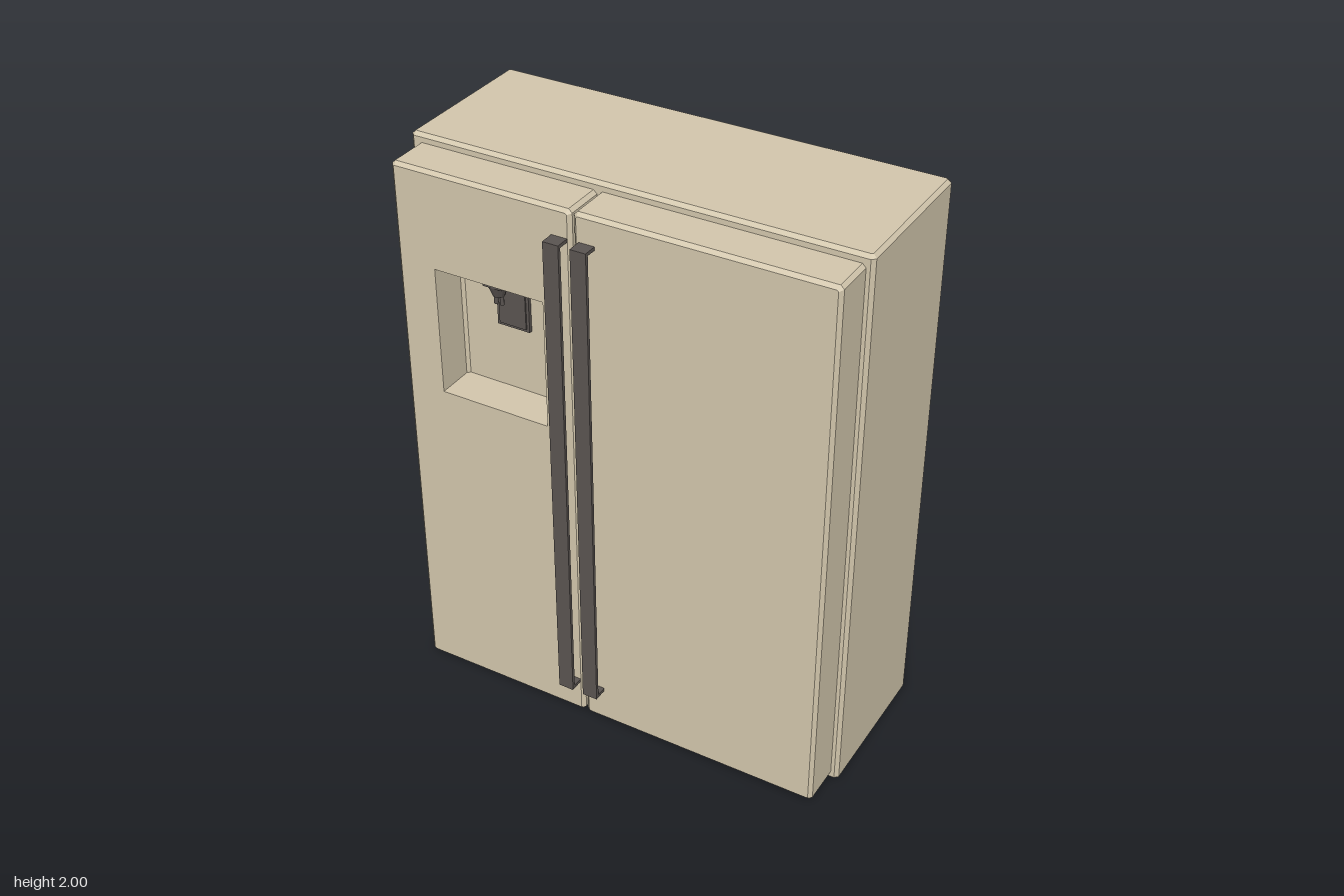
import * as THREE from 'three';

const BEVEL = 0.012;
const beige = new THREE.MeshStandardMaterial({ color: 0xd2c6ac });
const dark = new THREE.MeshStandardMaterial({ color: 0x5a5451 });

function addMesh(parent, name, geometry, material, x = 0, y = 0, z = 0) {
  const mesh = new THREE.Mesh(geometry, material);
  mesh.name = name;
  mesh.position.set(x, y, z);
  parent.add(mesh);
  return mesh;
}

function addBox(parent, name, material, x0, x1, y0, y1, z0, z1) {
  return addMesh(parent, name, new THREE.BoxGeometry(x1 - x0, y1 - y0, z1 - z0), material,
    (x0 + x1) / 2, (y0 + y1) / 2, (z0 + z1) / 2);
}

// Rectangle with cut corners
function cutRect(x0, x1, y0, y1, c = BEVEL) {
  return new THREE.Shape([
    [x0 + c, y0], [x1 - c, y0], [x1, y0 + c], [x1, y1 - c],
    [x1 - c, y1], [x0 + c, y1], [x0, y1 - c], [x0, y0 + c],
  ].map(([x, y]) => new THREE.Vector2(x, y)));
}

// Bevelled slab from z = 0 to z = depth
function slab(shape, depth) {
  const geometry = new THREE.ExtrudeGeometry(shape, {
    depth: depth - 2 * BEVEL, bevelEnabled: true, bevelThickness: BEVEL,
    bevelSize: BEVEL, bevelOffset: -BEVEL, bevelSegments: 1,
  });
  return geometry.translate(0, 0, BEVEL);
}

// Cabinet: bevelled at the top and upright edges, flat at the bottom
function cabinetGeometry() {
  const geometry = slab(cutRect(-0.79, 0.79, -0.175, 0.375), 2);
  geometry.rotateX(-Math.PI / 2);
  const p = geometry.attributes.position;
  for (let i = 0; i < p.count; i++) if (p.getY(i) < 0.1) p.setY(i, 0);
  geometry.computeVertexNormals();
  return geometry;
}

// Door slab with an optional square-edged opening
function doorGeometry(x0, x1, hole) {
  const shape = cutRect(x0, x1, 0.01, 1.97);
  if (hole) {
    shape.holes.push(new THREE.Path([
      [hole.x0, hole.y0], [hole.x0, hole.y1], [hole.x1, hole.y1], [hole.x1, hole.y0],
    ].map(([x, y]) => new THREE.Vector2(x, y))));
  }
  const geometry = slab(shape, 0.175);
  if (hole) {
    // Straighten the bevel around the opening
    const p = geometry.attributes.position;
    const m = 0.04;
    for (let i = 0; i < p.count; i++) {
      const x = p.getX(i), y = p.getY(i);
      if (x < hole.x0 - m || x > hole.x1 + m || y < hole.y0 - m || y > hole.y1 + m) continue;
      p.setX(i, x < (hole.x0 + hole.x1) / 2 ? hole.x0 : hole.x1);
      p.setY(i, y < (hole.y0 + hole.y1) / 2 ? hole.y0 : hole.y1);
    }
    geometry.computeVertexNormals();
  }
  return geometry.translate(0, 0, 0.15);
}

// Back of the recess, with slanted strips in its upright corners
function recessBackGeometry(hole) {
  const c = 0.01, z = -0.185;
  const section = new THREE.Shape([
    [hole.x0, z + 0.02], [hole.x1, z + 0.02], [hole.x1, z - c],
    [hole.x1 - c, z], [hole.x0 + c, z], [hole.x0, z - c],
  ].map(([x, y]) => new THREE.Vector2(x, y)));
  const geometry = new THREE.ExtrudeGeometry(section, { depth: hole.y1 - hole.y0, bevelEnabled: false });
  return geometry.rotateX(-Math.PI / 2).translate(0, hole.y0, 0);
}

// Thin strap handle bent back to the door at both ends
function makeHandle(name, x0, x1) {
  const handle = new THREE.Group();
  handle.name = name;
  const t = 0.012, y0 = 0.14, y1 = 1.875, front = 0.375, back = 0.32;
  const strap = new THREE.Shape([
    [-front, y0], [-back, y0], [-back, y0 + t], [-front + t, y0 + t],
    [-front + t, y1 - t], [-back, y1 - t], [-back, y1], [-front, y1],
  ].map(([x, y]) => new THREE.Vector2(x, y)));
  const geometry = new THREE.ExtrudeGeometry(strap, { depth: x1 - x0, bevelEnabled: false });
  geometry.rotateY(Math.PI / 2);
  addMesh(handle, 'strap', geometry, dark, x0);
  return handle;
}

// Paddle plate and tapered spout with two outlets
function makeDispenser() {
  const group = new THREE.Group();
  group.name = 'dispenser';
  const x = -0.42;
  addBox(group, 'paddle', dark, x - 0.06, x + 0.06, 1.41, 1.61, 0.18, 0.198);
  addBox(group, 'paddlePad', dark, x - 0.05, x + 0.05, 1.42, 1.6, 0.19, 0.203);
  addBox(group, 'spoutCap', dark, x - 0.035, x + 0.035, 1.61, 1.63, 0.235, 0.305);
  const cone = new THREE.CylinderGeometry(0.035, 0.02, 0.04, 12).toNonIndexed();
  cone.computeVertexNormals();
  addMesh(group, 'spout', cone, dark, x, 1.59, 0.27);
  for (const side of [-1, 1]) {
    addMesh(group, 'outlet', new THREE.CylinderGeometry(0.007, 0.007, 0.035, 8), dark,
      x + side * 0.011, 1.555, 0.27);
  }
  return group;
}

export function createModel() {
  const model = new THREE.Group();
  model.name = 'refrigerator';
  const recess = { x0: -0.62, x1: -0.22, y0: 1.175, y1: 1.63 };

  addMesh(model, 'cabinet', cabinetGeometry(), beige);
  addMesh(model, 'freezerDoor', doorGeometry(-0.76, -0.112, recess), beige);
  addMesh(model, 'fridgeDoor', doorGeometry(-0.105, 0.765), beige);
  addMesh(model, 'recessBack', recessBackGeometry(recess), beige);
  model.add(makeDispenser());
  model.add(makeHandle('freezerHandle', -0.18, -0.125));
  model.add(makeHandle('fridgeHandle', -0.085, -0.03));
  return model;
}
